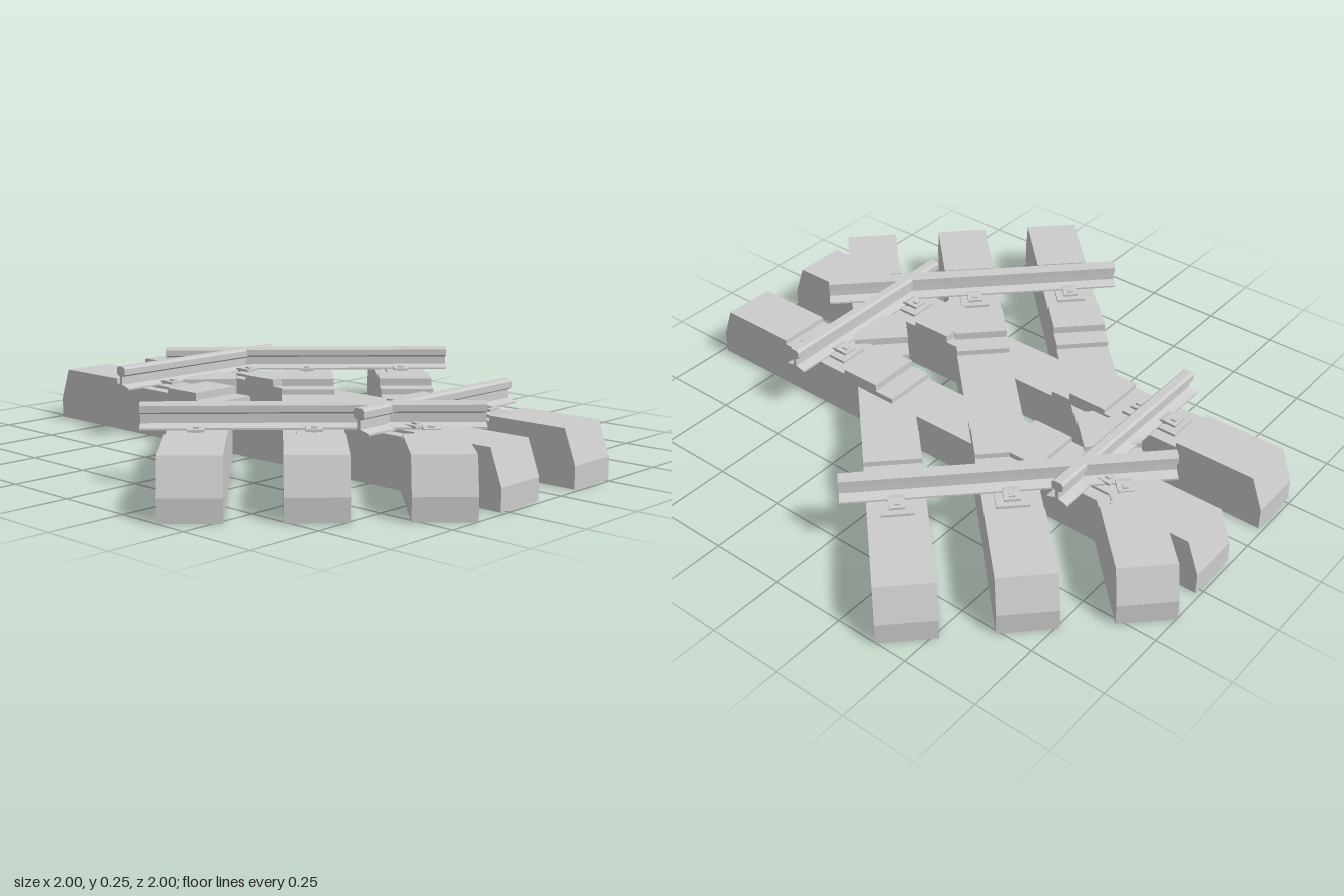
import * as THREE from 'three';

const material = new THREE.MeshStandardMaterial({ color: 0xcccccc, flatShading: true });
const WIDTH = 0.18;   // sleeper width
const SEAT = 0.54;    // rail distance from the track centre line

// Extrude a 2D outline, centred along its depth
function prism(points, depth) {
  const shape = new THREE.Shape(points.map(([x, y]) => new THREE.Vector2(x, y)));
  return new THREE.ExtrudeGeometry(shape, { depth, bevelEnabled: false }).translate(0, 0, -depth / 2);
}

// Mirror a half outline (x > 0, listed bottom to top) into a closed one
function mirrored(half) {
  return [...half, ...half.map(([x, y]) => [-x, y]).reverse()];
}

function add(parent, name, geometry, x = 0, y = 0, z = 0) {
  const mesh = new THREE.Mesh(geometry, material);
  mesh.name = name;
  mesh.position.set(x, y, z);
  parent.add(mesh);
  return mesh;
}

// Sleeper with sloped ends, recessed rail seats and a stepped low middle
const sleeperGeometry = prism(mirrored([
  [0.985, 0], [0.985, 0.07], [0.945, 0.178],
  [0.67, 0.178], [0.67, 0.161], [0.4, 0.161], [0.4, 0.178],
  [0.26, 0.178], [0.26, 0.153], [0.19, 0.153], [0.19, 0.135],
]), WIDTH);

// Rail section: foot, thin web and rounded head
const railOutline = mirrored([
  [0.038, 0], [0.038, 0.006], [0.006, 0.015], [0.005, 0.042], [0.02, 0.049],
  [0.02, 0.069], [0.013, 0.077],
]);

const plateGeometry = new THREE.BoxGeometry(0.2, 0.01, 0.1);
const clipGeometry = prism([[0.025, 0], [0.045, 0], [0.045, 0.004], [0.085, 0.004],
  [0.085, 0.012], [0.04, 0.014], [0.025, 0.011]], 0.05);
const boltGeometry = new THREE.BoxGeometry(0.018, 0.02, 0.018);

// Baseplate with a clip and bolt on each side of the rail
function makeFastening() {
  const group = new THREE.Group();
  group.name = 'railFastening';
  add(group, 'baseplate', plateGeometry, 0, 0.165, 0);
  for (const side of [0, Math.PI]) {
    const half = new THREE.Group();
    half.name = 'clipAndBolt';
    half.rotation.y = side;
    add(half, 'clip', clipGeometry, 0, 0.17, 0);
    add(half, 'bolt', boltGeometry, 0.066, 0.178, 0);
    group.add(half);
  }
  return group;
}

// Short track: sleepers lie along local x, rails along local z
function makeTrack(name, sleeperOffsets, railLength, railY, angle) {
  const track = new THREE.Group();
  track.name = name;
  track.rotation.y = angle;
  const railGeometry = prism(railOutline, railLength);
  for (const z of sleeperOffsets) {
    add(track, 'sleeper', sleeperGeometry, 0, 0, z);
    for (const side of [-1, 1]) {
      const fastening = makeFastening();
      fastening.position.set(side * SEAT, 0, z);
      track.add(fastening);
    }
  }
  for (const side of [-1, 1]) add(track, 'rail', railGeometry, side * SEAT, railY, 0);
  return track;
}

export function createModel() {
  const model = new THREE.Group();
  model.name = 'crossedTracks';
  model.add(makeTrack('straightTrack', [-0.18, 0.18], 0.715, 0.168, Math.PI / 2));
  model.add(makeTrack('diagonalTrack', [-0.342, 0, 0.342], 1.02, 0.171, Math.PI / 4));
  return model;
}
